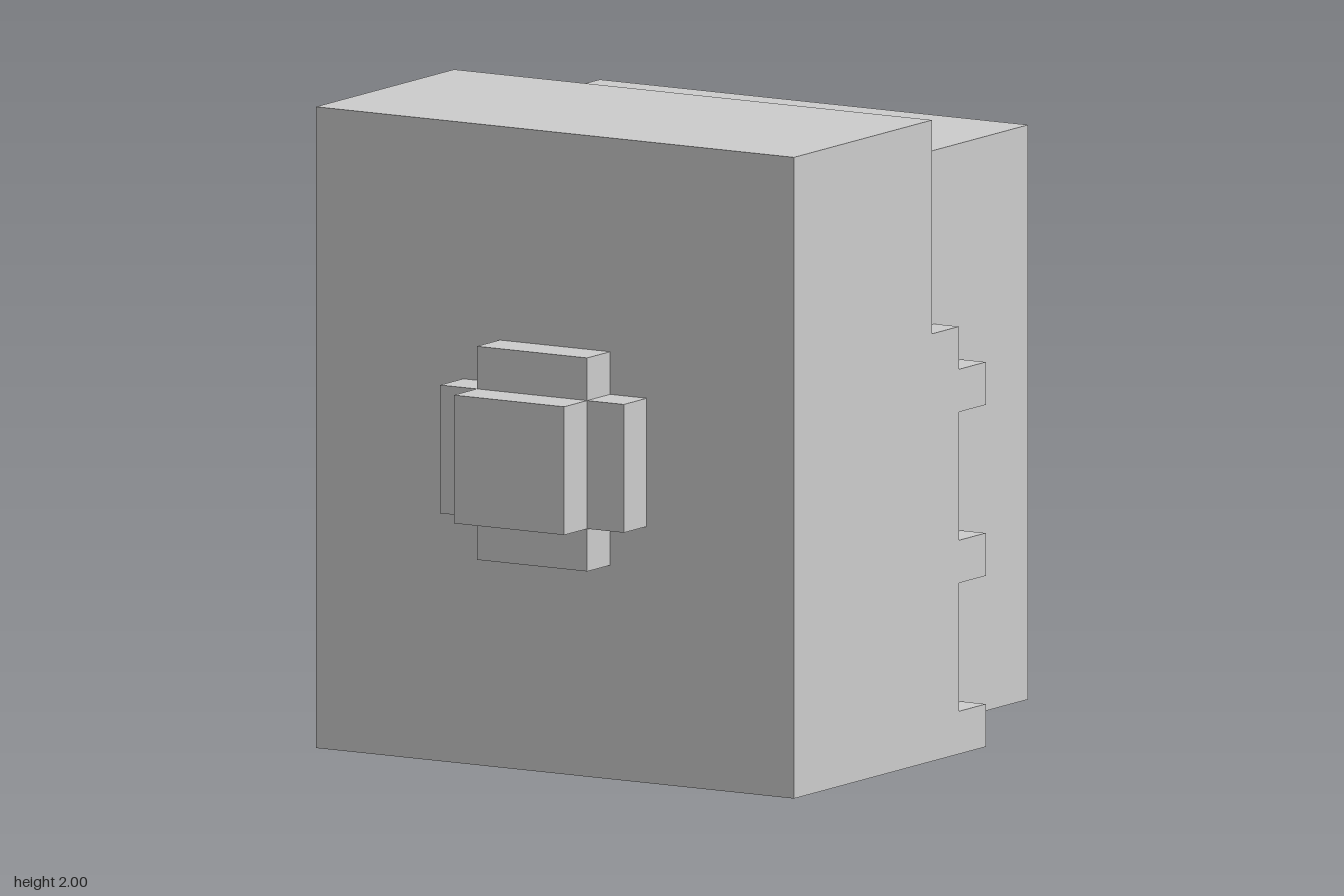
import * as THREE from 'three';

const UNIT = 2 / 15;       // edge length of one step
const HALF_W = 0.867;      // half width of the front block
const CORE_W = 0.777;      // half width of the rear core
const FRONT = 0.617, BACK = -0.183, STEP = -0.339, TOOTH = -0.494, REAR = -0.883;
const CORE_BOTTOM = 0.083, CORE_TOP = 1.875;

const material = new THREE.MeshStandardMaterial({ color: 0xcccccc, flatShading: true });

function add(group, name, geometry) {
  const mesh = new THREE.Mesh(geometry, material);
  mesh.name = name;
  group.add(mesh);
}

// Box given by its limits on each axis
function box(x0, x1, y0, y1, z0, z1) {
  return new THREE.BoxGeometry(x1 - x0, y1 - y0, z1 - z0)
    .translate((x0 + x1) / 2, (y0 + y1) / 2, (z0 + z1) / 2);
}

function extrude(points, depth) {
  const shape = new THREE.Shape(points.map(([a, b]) => new THREE.Vector2(a, b)));
  return new THREE.ExtrudeGeometry(shape, { depth, bevelEnabled: false });
}

export function createModel() {
  const model = new THREE.Group();
  model.name = 'model';

  // Large front block and the narrower core behind it
  add(model, 'frontBlock', box(-HALF_W, HALF_W, 0, 2, BACK, FRONT));
  add(model, 'rearCore', box(-CORE_W, CORE_W, CORE_BOTTOM, CORE_TOP, REAR, BACK));

  // Side panels with toothed rear edges, drawn as (-z, y)
  const side = [[-BACK, 0]];
  for (let i = 0; i < 3; i++) {
    const y = i * 4 * UNIT;
    if (i > 0) side.push([-STEP, y]);
    side.push([-TOOTH, y], [-TOOTH, y + UNIT], [-STEP, y + UNIT]);
  }
  side.push([-STEP, 10 * UNIT], [-BACK, 10 * UNIT]);
  for (const [name, x] of [['leftPanel', CORE_W], ['rightPanel', -HALF_W]]) {
    add(model, name, extrude(side, HALF_W - CORE_W).rotateY(Math.PI / 2).translate(x, 0, 0));
  }

  // Bottom panel between the side panels, drawn as (x, -z)
  const bottom = [[-CORE_W, -BACK], [CORE_W, -BACK]];
  for (let i = 0; i < 4; i++) {
    const x1 = Math.min(HALF_W - i * 4 * UNIT, CORE_W);
    const x0 = Math.max(HALF_W - i * 4 * UNIT - UNIT, -CORE_W);
    if (i > 0) bottom.push([x1, -STEP]);
    bottom.push([x1, -TOOTH], [x0, -TOOTH]);
    if (i < 3) bottom.push([x0, -STEP]);
  }
  add(model, 'bottomPanel', extrude(bottom, CORE_BOTTOM).rotateX(-Math.PI / 2));

  // Front knob: a deep centre with four shallower pads around it
  const knob = new THREE.Group();
  knob.name = 'frontKnob';
  const r = 0.2, R = 0.333, padZ = 0.75;
  add(knob, 'knobCentre', box(-r, r, 1 - r, 1 + r, FRONT, -REAR));
  add(knob, 'knobPadLeft', box(r, R, 1 - r, 1 + r, FRONT, padZ));
  add(knob, 'knobPadRight', box(-R, -r, 1 - r, 1 + r, FRONT, padZ));
  add(knob, 'knobPadTop', box(-r, r, 1 + r, 1 + R, FRONT, padZ));
  add(knob, 'knobPadBottom', box(-r, r, 1 - R, 1 - r, FRONT, padZ));
  model.add(knob);

  return model;
}
